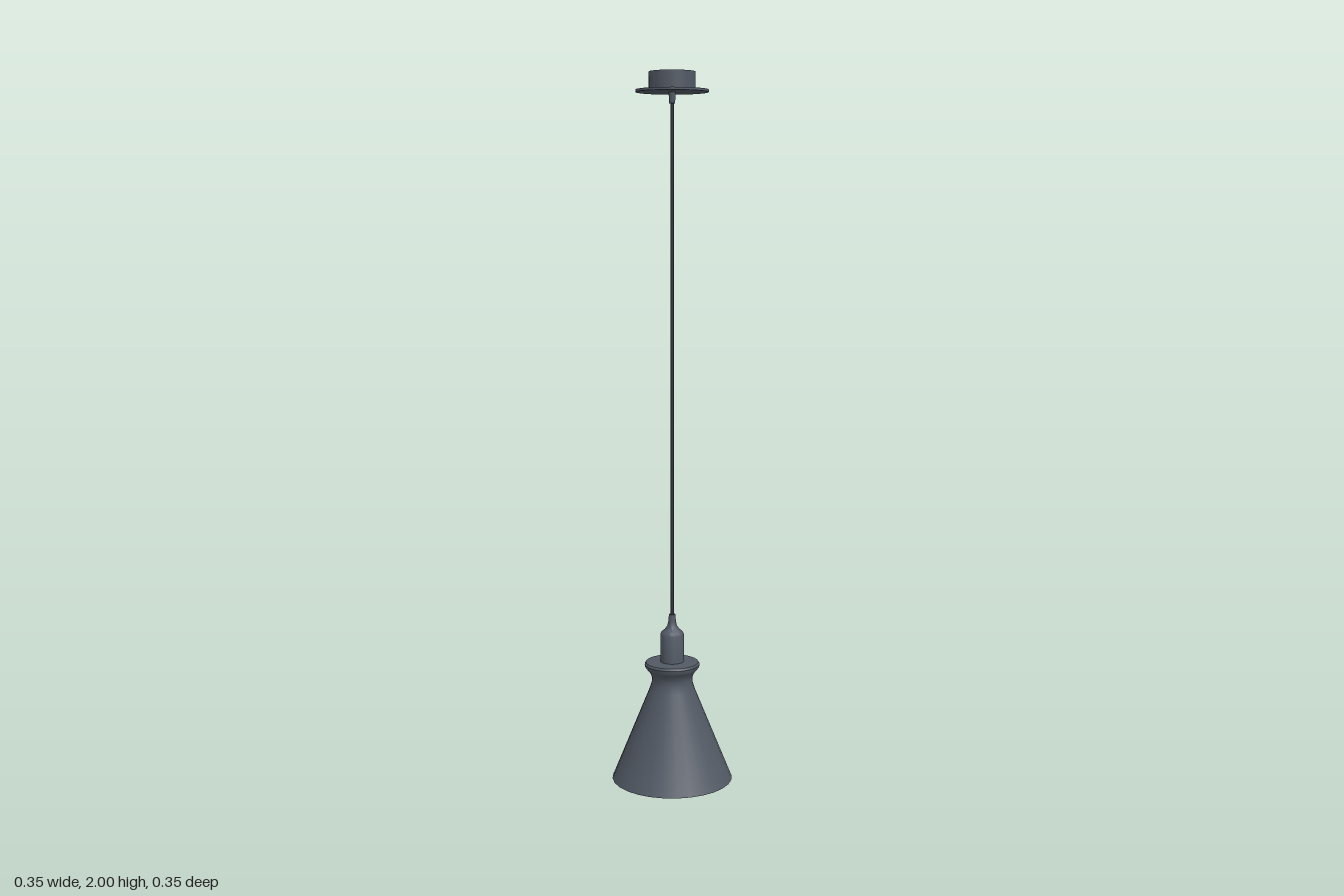
import * as THREE from 'three';
import { toCreasedNormals } from 'three/addons/utils/BufferGeometryUtils.js';

export function createModel() {
  const group = new THREE.Group();
  group.name = 'pendantLamp';

  const metal = new THREE.MeshStandardMaterial({ color: 0x525964, side: THREE.DoubleSide });
  metal.name = 'slate metal';
  const cable = new THREE.MeshStandardMaterial({ color: 0x2e3038 });
  cable.name = 'dark cable';

  // Turned part from [radius, height] pairs, listed bottom to top
  const turned = (name, profile, sides, material) => {
    const points = profile.map(([r, y]) => new THREE.Vector2(r, y));
    const geometry = toCreasedNormals(new THREE.LatheGeometry(points, sides), 0.6);
    const mesh = new THREE.Mesh(geometry, material);
    mesh.name = name;
    group.add(mesh);
  };

  // Open cone shade with a pinched neck and flared collar
  turned('shade', [
    [0.173, 0], [0.17, 0.006], [0.066, 0.262], [0.059, 0.283], [0.058, 0.298],
    [0.062, 0.311], [0.071, 0.322], [0.078, 0.331], [0.079, 0.338],
    [0.075, 0.344], [0.033, 0.346],
  ], 28, metal);

  // Bulb socket with a tapered cable grip
  turned('socket', [
    [0, 0.335], [0.034, 0.335], [0.034, 0.425], [0.031, 0.432], [0.022, 0.439],
    [0.014, 0.45], [0.011, 0.462], [0.009, 0.484], [0, 0.484],
  ], 32, metal);

  // Hanging cable
  turned('cable', [[0.005, 0.48], [0.005, 1.93]], 12, cable);

  // Ceiling mount: cable grip, thin plate and cup
  turned('ceilingGrip', [[0, 1.915], [0.008, 1.915], [0.01, 1.947], [0, 1.947]], 16, metal);
  turned('ceilingPlate', [[0, 1.945], [0.1, 1.945], [0.1, 1.952], [0, 1.952]], 48, metal);
  turned('ceilingCup', [[0.064, 1.95], [0.064, 2], [0, 2]], 40, metal);

  return group;
}
